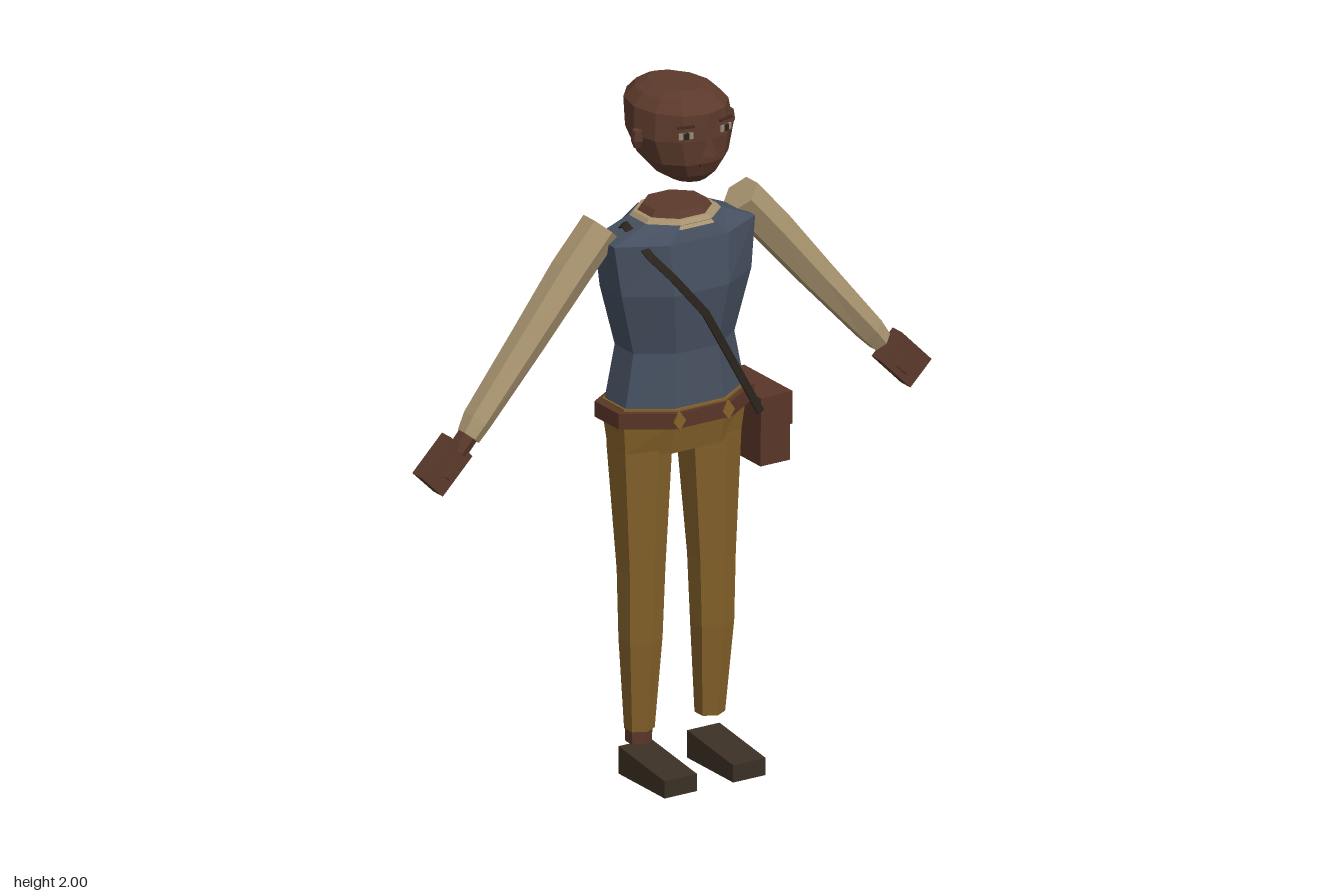
import * as THREE from 'three';

const paint = (name, color) => {
  const m = new THREE.MeshStandardMaterial({ color });
  m.name = name;
  return m;
};

// One cross-section: half sizes hx, hz, turned by tilt in the xy plane
function ring(x, y, z, hx, hz, n, phase = 0, tilt = 0) {
  const angles = Array.from({ length: n }, (_, i) => phase + (i / n) * Math.PI * 2);
  const mx = Math.max(...angles.map((a) => Math.abs(Math.sin(a))));
  const mz = Math.max(...angles.map((a) => Math.abs(Math.cos(a))));
  return angles.map((a) => {
    const u = (Math.sin(a) / mx) * hx;
    return new THREE.Vector3(x + u * Math.cos(tilt), y + u * Math.sin(tilt), z + (Math.cos(a) / mz) * hz);
  });
}

// Upright section from its half width and its front and back z
const section = (n, phase, x = 0) => ([y, hx, front, back]) =>
  ring(x, y, (front + back) / 2, hx, (front - back) / 2, n, phase);

// Fan over one ring, facing along or against the loft
function capFaces(pts, up) {
  const c = pts.reduce((s, p) => s.add(p), new THREE.Vector3()).divideScalar(pts.length);
  return pts.flatMap((p, j) => {
    const q = pts[(j + 1) % pts.length];
    return up ? [c, p, q] : [c, q, p];
  });
}

// Faceted skin over rings listed from bottom to top
function loft(rings, bottom = true, top = true) {
  const v = [];
  for (let i = 0; i < rings.length - 1; i++) {
    const a = rings[i], b = rings[i + 1], n = a.length;
    for (let j = 0; j < n; j++) {
      const k = (j + 1) % n;
      v.push(a[j], a[k], b[k], a[j], b[k], b[j]);
    }
  }
  if (bottom) v.push(...capFaces(rings[0], false));
  if (top) v.push(...capFaces(rings[rings.length - 1], true));
  return facets(v);
}

function facets(points) {
  const g = new THREE.BufferGeometry().setFromPoints(points);
  g.computeVertexNormals();
  return g;
}

export function createModel() {
  const model = new THREE.Group();
  model.name = 'figure';
  const skin = paint('skin', 0x5c3a2c);
  const leather = paint('leather', 0x5a3528);
  const cloth = paint('vest blue', 0x465060);
  const linen = paint('sleeve linen', 0xa8936f);
  const mustard = paint('trouser mustard', 0x85622a);
  const shoeDark = paint('shoe brown', 0x3a3024);
  const strapDark = paint('strap brown', 0x2b241d);
  const eyePale = paint('eye pale', 0x9a8b78);
  const lipDark = paint('lip brown', 0x48261f);

  const add = (name, geometry, material, parent = model) => {
    const m = new THREE.Mesh(geometry, material);
    m.name = name;
    parent.add(m);
    return m;
  };
  const box = (name, w, h, d, x, y, z, material, parent) => {
    const m = add(name, new THREE.BoxGeometry(w, h, d), material, parent);
    m.position.set(x, y, z);
    return m;
  };

  // Head
  const head = new THREE.Group();
  head.name = 'head';
  model.add(head);
  add('skull', loft([
    [1.745, 0.05, 0.1, -0.01], [1.77, 0.09, 0.125, -0.07], [1.81, 0.125, 0.145, -0.11],
    [1.88, 0.148, 0.15, -0.148], [1.955, 0.137, 0.146, -0.178], [1.985, 0.105, 0.11, -0.15],
    [2.0, 0.065, 0.07, -0.115],
  ].map(section(12, 0))), skin, head);
  const nose = add('nose', new THREE.ConeGeometry(0.024, 0.06, 4).toNonIndexed(), skin, head);
  nose.geometry.computeVertexNormals();
  nose.position.set(0, 1.868, 0.153);
  box('mouth', 0.05, 0.008, 0.008, 0, 1.808, 0.142, lipDark, head);
  for (const s of [-1, 1]) {
    const eye = new THREE.Group();
    eye.name = 'eye';
    eye.position.set(s * 0.065, 1.9, 0.134);
    eye.rotation.y = s * 0.28;
    head.add(eye);
    box('eyeWhite', 0.042, 0.018, 0.005, 0, 0, 0, eyePale, eye);
    box('iris', 0.016, 0.018, 0.005, 0, 0, 0.002, strapDark, eye);
    box('brow', 0.05, 0.006, 0.008, 0, 0.026, 0, lipDark, eye);
    const ear = add('ear', loft([
      [1.848, 0.008, 0.025, 0.01], [1.87, 0.016, 0.036, 0.004], [1.9, 0.012, 0.034, 0.004],
    ].map(section(6, 0, s * 0.149))), skin, head);
    ear.name = s > 0 ? 'leftEar' : 'rightEar';
  }

  // Torso
  const oct = section(8, Math.PI / 8);
  add('neck', loft([[1.61, 0.115, 0.08, -0.12], [1.65, 0.085, 0.055, -0.1]].map(oct)), skin);
  add('collar', loft([[1.61, 0.13, 0.092, -0.132], [1.632, 0.112, 0.076, -0.115]].map(oct)), linen);
  add('vest', loft([
    [1.08, 0.197, 0.105, -0.15], [1.25, 0.165, 0.09, -0.135], [1.43, 0.212, 0.115, -0.15],
    [1.575, 0.23, 0.1, -0.145], [1.62, 0.125, 0.085, -0.128],
  ].map(oct)), cloth);

  // Hips and belt
  const hips = [[0.96, 0.19, 0.085, -0.13], [1.055, 0.2, 0.105, -0.152]].map(oct);
  add('hips', loft(hips, false), mustard);
  add('hipUnderside', facets(capFaces(hips[0], false)), leather);
  add('waistband', loft([[1.085, 0.2, 0.11, -0.157], [1.097, 0.2, 0.11, -0.157]].map(oct)), mustard);
  add('belt', loft([[1.045, 0.222, 0.122, -0.168], [1.09, 0.222, 0.122, -0.168]].map(oct)), leather);
  for (const x of [-0.08, 0.08]) {
    for (const z of [0.124, -0.17]) {
      const loop = add('beltLoop', new THREE.CylinderGeometry(0.02, 0.02, 0.006, 4), mustard);
      loop.rotation.x = Math.PI / 2;
      loop.position.set(x, 1.068, z);
      loop.scale.z = 1.4;
    }
  }

  // Limbs, s = 1 for left and -1 for right
  for (const s of [-1, 1]) {
    const side = s > 0 ? 'left' : 'right';
    const tilt = s * 0.705;
    const armRing = ([x, y, hx, hz, z]) => ring(s * x, y, z, hx, hz, 6, 0, tilt);
    const sleeve = [
      [0.672, 1.1, 0.03, 0.034, -0.025], [0.64, 1.14, 0.036, 0.044, -0.03],
      [0.47, 1.335, 0.045, 0.048, -0.037], [0.33, 1.5, 0.051, 0.055, -0.042],
      [0.227, 1.615, 0.051, 0.056, -0.042],
    ].map(armRing);
    add(side + 'Sleeve', loft(sleeve, true, false), linen);
    add(side + 'ShoulderEnd', facets(capFaces(sleeve[4], true)), s > 0 ? linen : skin);

    const hand = new THREE.Group();
    hand.name = side + 'Hand';
    hand.position.set(s * 0.75, 1.03, -0.035);
    hand.rotation.z = s * 0.78;
    model.add(hand);
    box('palm', 0.098, 0.138, 0.046, 0, 0, 0, skin, hand);
    box('thumb', 0.022, 0.05, 0.024, -s * 0.02, 0, 0.026, skin, hand);
    if (s < 0) {
      add('rightWrist', loft([
        [0.705, 1.06, 0.026, 0.026, -0.03], [0.668, 1.105, 0.026, 0.028, -0.028],
      ].map(armRing)), skin);
      add('rightAnkle', loft([
        [0.095, 0.032, 0.012, -0.058], [0.15, 0.034, 0.014, -0.06],
      ].map(section(6, 0, -0.117))), skin);
    }

    const legX = [0.115, 0.117, 0.115, 0.113, 0.11];
    add(side + 'Leg', loft([
      [0.133, 0.037, 0.018, -0.062], [0.4, 0.053, 0.045, -0.072], [0.6, 0.058, 0.052, -0.08],
      [0.96, 0.077, 0.068, -0.118], [1.03, 0.077, 0.07, -0.12],
    ].map((r, i) => section(6, 0, s * legX[i])(r))), mustard);

    // Shoe wedge, lower at the toe
    const shoe = box(side + 'Shoe', 0.106, 0.08, 0.23, s * 0.112, 0.04, 0.065, shoeDark);
    const p = shoe.geometry.attributes.position;
    for (let i = 0; i < p.count; i++) {
      if (p.getY(i) > 0 && p.getZ(i) > 0) p.setY(i, 0.01);
    }
    shoe.geometry.computeVertexNormals();
  }

  // Satchel at the left hip
  box('satchel', 0.096, 0.11, 0.236, 0.254, 0.92, -0.026, leather);
  box('satchelFlap', 0.104, 0.095, 0.242, 0.257, 1.018, -0.026, leather);

  // Shoulder strap, front and back runs
  const runs = {
    strapFront: [
      [0.185, 1.04, 0.125], [0.1, 1.2, 0.118], [0, 1.37, 0.132],
      [-0.1, 1.49, 0.122], [-0.152, 1.55, 0.095], [-0.165, 1.615, -0.02],
    ],
    strapBack: [
      [0.185, 1.04, -0.165], [0.1, 1.2, -0.16], [0, 1.37, -0.172],
      [-0.1, 1.49, -0.165], [-0.152, 1.55, -0.14], [-0.165, 1.615, -0.02],
    ],
  };
  for (const [name, path] of Object.entries(runs)) {
    add(name, loft(path.map(([x, y, z]) => ring(x, y, z, 0.011, 0.004, 4, Math.PI / 4, 0.59))), strapDark);
  }
  return model;
}
